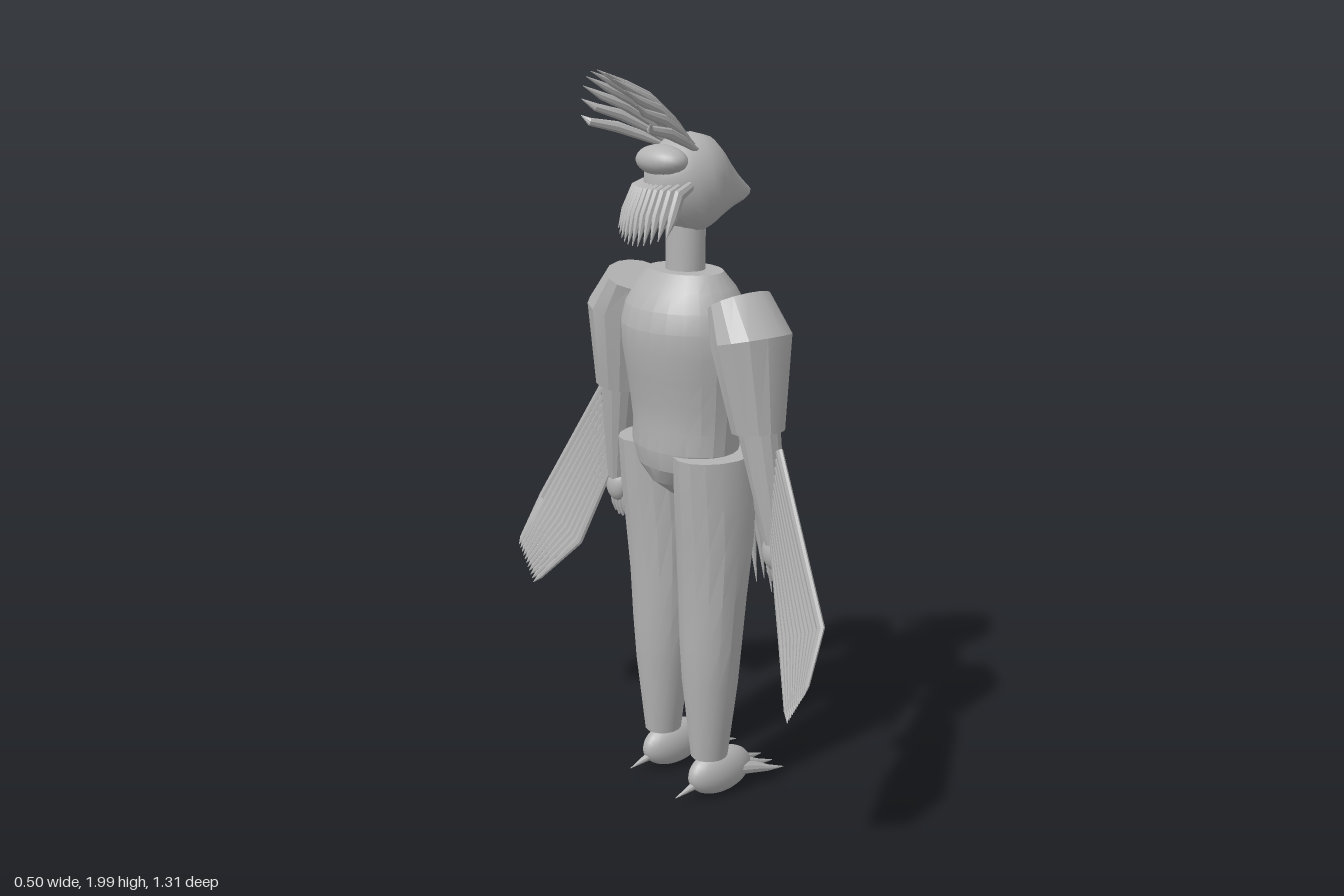
import * as THREE from 'three';
import { toCreasedNormals } from 'three/addons/utils/BufferGeometryUtils.js';

const V = (a) => new THREE.Vector3(...a);
const lerp = (a, b, t) => a.map((v, i) => v + (b[i] - v) * t);

// Closed loft: elliptical rings along a path. Each ring is [x, y, z, radius along `wide`, other radius].
function loft(rings, wide, sides, crease = 0.4) {
  const pos = [], idx = [], n = rings.length, p = rings.map((r) => V(r.slice(0, 3)));
  p.forEach((c, i) => {
    const t = p[Math.min(i + 1, n - 1)].clone().sub(p[Math.max(i - 1, 0)]).normalize();
    const u = V(wide);
    u.addScaledVector(t, -u.dot(t)).normalize();
    const v = t.clone().cross(u);
    for (let j = 0; j < sides; j++) {
      const a = (j / sides) * Math.PI * 2;
      const q = c.clone().addScaledVector(u, Math.cos(a) * rings[i][3]).addScaledVector(v, Math.sin(a) * rings[i][4]);
      pos.push(q.x, q.y, q.z);
    }
  });
  pos.push(...p[0].toArray(), ...p[n - 1].toArray());
  for (let j = 0; j < sides; j++) {
    const k = (j + 1) % sides, e = (n - 1) * sides;
    for (let i = 0; i < n - 1; i++) {
      const a = i * sides + j, b = i * sides + k;
      idx.push(a, b, b + sides, a, b + sides, a + sides);
    }
    idx.push(n * sides, k, j, n * sides + 1, e + j, e + k);
  }
  const g = new THREE.BufferGeometry();
  g.setAttribute('position', new THREE.Float32BufferAttribute(pos, 3));
  g.setIndex(idx);
  return toCreasedNormals(g, crease);
}

export function createModel() {
  const model = new THREE.Group();
  const grey = new THREE.MeshStandardMaterial({ color: 0xb3b3b3 });
  grey.name = 'plain grey';
  const X = [1, 0, 0], Z = [0, 0, 1];

  const add = (name, geometry, parent = model) => {
    const m = new THREE.Mesh(geometry, grey);
    m.name = name;
    parent.add(m);
    return m;
  };
  const group = (name) => {
    const g = new THREE.Group();
    g.name = name;
    model.add(g);
    return g;
  };
  const ball = (name, c, r, parent) => {
    const m = add(name, new THREE.SphereGeometry(1, 24, 16), parent);
    m.position.set(...c);
    m.scale.set(...r);
  };

  // Head tapering into the beak
  add('head', loft([
    [-0.095, 1.7, 0, 0.005, 0.005], [-0.085, 1.7, 0, 0.045, 0.05], [-0.06, 1.705, 0, 0.075, 0.09],
    [-0.02, 1.71, 0, 0.099, 0.12], [0.02, 1.708, 0, 0.108, 0.131], [0.055, 1.703, 0, 0.104, 0.126],
    [0.09, 1.695, 0, 0.085, 0.105], [0.13, 1.688, 0, 0.055, 0.075], [0.17, 1.68, 0, 0.032, 0.045],
    [0.205, 1.674, 0, 0.016, 0.024], [0.222, 1.675, 0, 0.008, 0.012], [0.23, 1.677, 0, 0.001, 0.001],
  ], Z, 32, 1));
  add('neck', loft([[0.015, 1.46, 0, 0.05, 0.055], [0.015, 1.62, 0, 0.05, 0.055]], X, 20));

  // Crest fan and its rounded base
  const crest = group('crest');
  ball('crestBase', [-0.06, 1.772, 0], [0.055, 0.04, 0.085], crest);
  for (let i = -5; i <= 5; i++) {
    const f = i / 5, d = f * f;
    add('crestFeather', loft([
      [0.01, 1.815 - 0.02 * d, 0.06 * f, 0.006, 0.006],
      [-0.055, 1.885 - 0.06 * d, 0.085 * f, 0.011, 0.012],
      [-0.12, 1.935 - 0.085 * d, 0.11 * f, 0.013, 0.014],
      [-0.19, 1.97 - 0.105 * d, 0.128 * f, 0.01, 0.01],
      [-0.253 + 0.05 * d, 2 - 0.12 * d, 0.147 * f, 0.001, 0.001],
    ], Z, 8), crest);
  }

  // Fringe hanging behind the head
  const fringe = group('headFringe');
  for (let i = -5; i <= 5; i++) {
    const f = i / 5, z = 0.092 * f, dx = 0.03 * f * f;
    add('fringeFeather', loft([
      [-0.05 + dx, 1.72, z * 0.9, 0.008, 0.012], [-0.105 + dx, 1.695, z, 0.011, 0.018],
      [-0.132 + dx, 1.64, z * 1.08, 0.011, 0.014], [-0.154 + dx, 1.565 + 0.03 * f * f, z * 1.12, 0.001, 0.001],
    ], Z, 8), fringe);
  }

  // Torso
  add('torso', loft([
    [0.015, 0.885, 0, 0.045, 0.03], [0.015, 0.925, 0, 0.095, 0.09], [0.015, 0.97, 0, 0.118, 0.145],
    [0.015, 1.02, 0, 0.128, 0.166], [0.018, 1.08, 0, 0.127, 0.168], [0.018, 1.15, 0, 0.135, 0.175],
    [0.018, 1.22, 0, 0.147, 0.182], [0.016, 1.29, 0, 0.157, 0.19], [0.015, 1.35, 0, 0.159, 0.19],
    [0.015, 1.4, 0, 0.146, 0.178], [0.015, 1.45, 0, 0.118, 0.152], [0.015, 1.49, 0, 0.085, 0.118],
  ], X, 24, 0.3));

  for (const s of [1, -1]) {
    const side = s > 0 ? 'left' : 'right';

    // Arm: sleeve, forearm, hand
    const arm = group(side + 'Arm');
    add('sleeve', loft([
      [0.015, 1.44, 0.22 * s, 0.09, 0.066], [0.015, 1.35, 0.27 * s, 0.11, 0.096],
      [0.015, 1.12, 0.3 * s, 0.068, 0.07],
    ], X, 14), arm);
    add('forearm', loft([
      [0.015, 1.15, 0.296 * s, 0.055, 0.062], [0.025, 1, 0.322 * s, 0.044, 0.047],
      [0.035, 0.83, 0.35 * s, 0.026, 0.028],
    ], X, 14), arm);
    ball('hand', [0.035, 0.805, 0.35 * s], [0.028, 0.048, 0.04], arm);
    for (let i = 0; i < 4; i++) {
      const z = (0.324 + 0.017 * i) * s;
      add('finger', loft([
        [0.04, 0.79, z, 0.01, 0.009], [0.042, 0.745, z, 0.01, 0.009],
        [0.048, 0.705 + 0.008 * Math.abs(i - 1.5), z, 0.004, 0.004],
      ], X, 8), arm);
    }
    add('thumb', loft([
      [0.05, 0.82, 0.33 * s, 0.01, 0.01], [0.063, 0.78, 0.315 * s, 0.009, 0.009], [0.065, 0.745, 0.318 * s, 0.003, 0.003],
    ], X, 8), arm);

    // Wing: overlapping blades trailing from the forearm
    const wing = group(side + 'Wing');
    const count = 11;
    for (let i = 0; i < count; i++) {
      const f = i / (count - 1);
      const root = lerp([0.012, 1.09, 0.385 * s], [0.02, 0.87, 0.355 * s], f);
      const bend = lerp([-0.05, 0.71, 0.62 * s], [-0.03, 0.615, 0.46 * s], f);
      const tip = lerp([-0.122, 0.565, 0.648 * s], [-0.116, 0.462, 0.582 * s], f);
      add('wingFeather', loft([
        [...root, 0.014, 0.008], [...bend, 0.016, 0.009], [...lerp(bend, tip, 0.85), 0.01, 0.006], [...tip, 0.001, 0.001],
      ], [-0.1, 0.45, 0.8 * s], 8), wing);
    }

    // Leg
    add(side + 'Leg', loft([
      [0.02, 1.02, 0.122 * s, 0.122, 0.094], [0.022, 0.9, 0.12 * s, 0.116, 0.1], [0.024, 0.78, 0.116 * s, 0.106, 0.104],
      [0.022, 0.62, 0.11 * s, 0.092, 0.097], [0.019, 0.48, 0.108 * s, 0.085, 0.088],
      [0.018, 0.36, 0.107 * s, 0.078, 0.078], [0.017, 0.135, 0.107 * s, 0.053, 0.05],
    ], X, 16));

    // Foot with three front toes and one back toe
    const foot = group(side + 'Foot');
    ball('footBody', [0.055, 0.075, 0.107 * s], [0.106, 0.067, 0.048], foot);
    for (const k of [-1, 0, 1]) {
      add('frontToe', loft([
        [0.09, 0.075, (0.107 + 0.022 * k) * s, 0.018, 0.02], [0.16, 0.062, (0.107 + 0.036 * k) * s, 0.014, 0.016],
        [0.2, 0.05, (0.107 + 0.044 * k) * s, 0.009, 0.009], [0.25, 0.04, (0.107 + 0.05 * k) * s, 0.001, 0.001],
      ], Z, 10), foot);
    }
    add('backToe', loft([
      [0, 0.06, 0.107 * s, 0.015, 0.015], [-0.045, 0.05, 0.107 * s, 0.01, 0.011], [-0.1, 0.035, 0.107 * s, 0.001, 0.001],
    ], Z, 10), foot);

    // Feathers hanging at the front of the hips
    const skirt = group(side + 'HipFeathers');
    for (let i = 0; i < 7; i++) {
      const f = i / 6, z0 = 0.035 + 0.155 * f, z1 = 0.028 + 0.192 * f;
      const low = [0.82, 0.74, 0.67, 0.62, 0.64, 0.61, 0.595][i];
      const top = 0.955 + 0.02 * f, x = 0.13 - 0.05 * f * f;
      add('hipFeather', loft([
        [x - 0.02, top + 0.02, z0 * s, 0.006, 0.006],
        [x + 0.02, lerp([top], [low], 0.25)[0], (z0 * 0.8 + z1 * 0.2) * s, 0.013, 0.011],
        [0.153, lerp([top], [low], 0.6)[0], (z0 * 0.4 + z1 * 0.6) * s, 0.012, 0.01],
        [0.167, low, z1 * s, 0.001, 0.001],
      ], Z, 8), skirt);
    }
  }
  return model;
}
